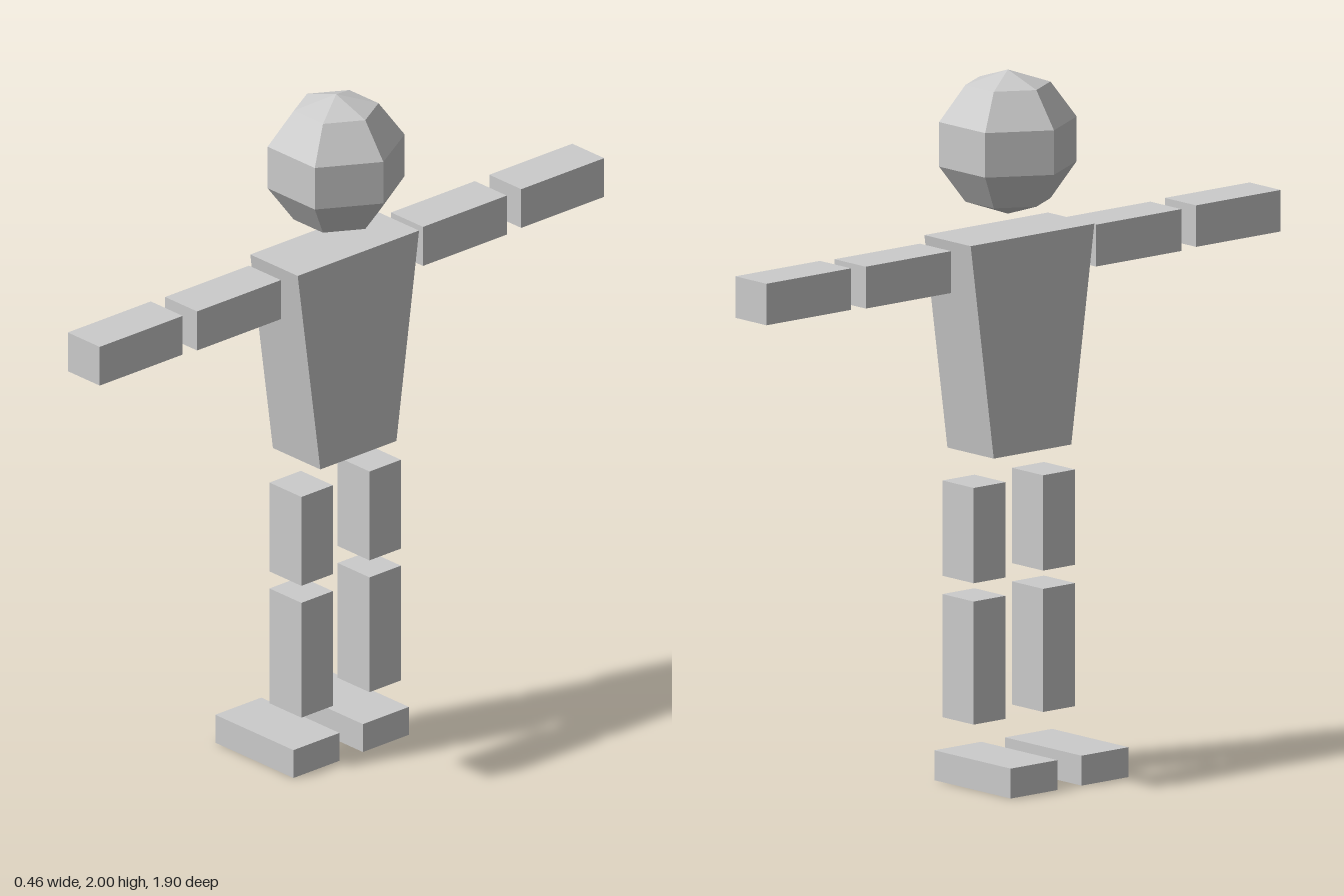
import * as THREE from 'three';

const material = new THREE.MeshStandardMaterial({ color: 0xcccccc, flatShading: true });

export function createModel() {
  const model = new THREE.Group();
  model.name = 'blockFigure';

  function add(parent, name, geometry, x, y, z) {
    const mesh = new THREE.Mesh(geometry, material);
    mesh.name = name;
    mesh.position.set(x, y, z);
    parent.add(mesh);
    return mesh;
  }

  // Box given by its extents along each axis
  function addBlock(parent, name, [x0, x1], [y0, y1], [z0, z1]) {
    const geometry = new THREE.BoxGeometry(x1 - x0, y1 - y0, z1 - z0);
    return add(parent, name, geometry, (x0 + x1) / 2, (y0 + y1) / 2, (z0 + z1) / 2);
  }

  // Faceted head
  add(model, 'head', new THREE.SphereGeometry(0.205, 6, 5), 0.029, 1.795, 0.004);

  // Torso, tapering from shoulders to waist
  const profile = new THREE.Shape([
    new THREE.Vector2(-0.143, 0.93),
    new THREE.Vector2(0.143, 0.93),
    new THREE.Vector2(0.228, 1.546),
    new THREE.Vector2(-0.228, 1.546),
  ]);
  const torso = new THREE.ExtrudeGeometry(profile, { depth: 0.196, bevelEnabled: false });
  torso.rotateY(Math.PI / 2);
  add(model, 'torso', torso, -0.074, 0, 0.005);

  // Limbs: the figure faces -x, so its left side is +z
  const limbX = [-0.042, 0.09];
  for (const [side, s] of [['left', 1], ['right', -1]]) {
    const span = (a, b, offset = 0) => [a * s + offset, b * s + offset].sort((p, q) => p - q);

    const arm = new THREE.Group();
    arm.name = side + 'Arm';
    addBlock(arm, side + 'UpperArm', limbX, [1.414, 1.533], span(0.267, 0.582));
    addBlock(arm, side + 'Forearm', limbX, [1.418, 1.536], span(0.636, 0.948));

    const leg = new THREE.Group();
    leg.name = side + 'Leg';
    addBlock(leg, side + 'Thigh', limbX, [0.577, 0.848], span(0.069, 0.187, 0.003));
    addBlock(leg, side + 'Shin', limbX, [0.175, 0.525], span(0.069, 0.187, 0.003));
    addBlock(leg, side + 'Foot', [-0.233, 0.09], [0, 0.085], span(0.044, 0.217, 0.003));

    model.add(arm, leg);
  }

  return model;
}
